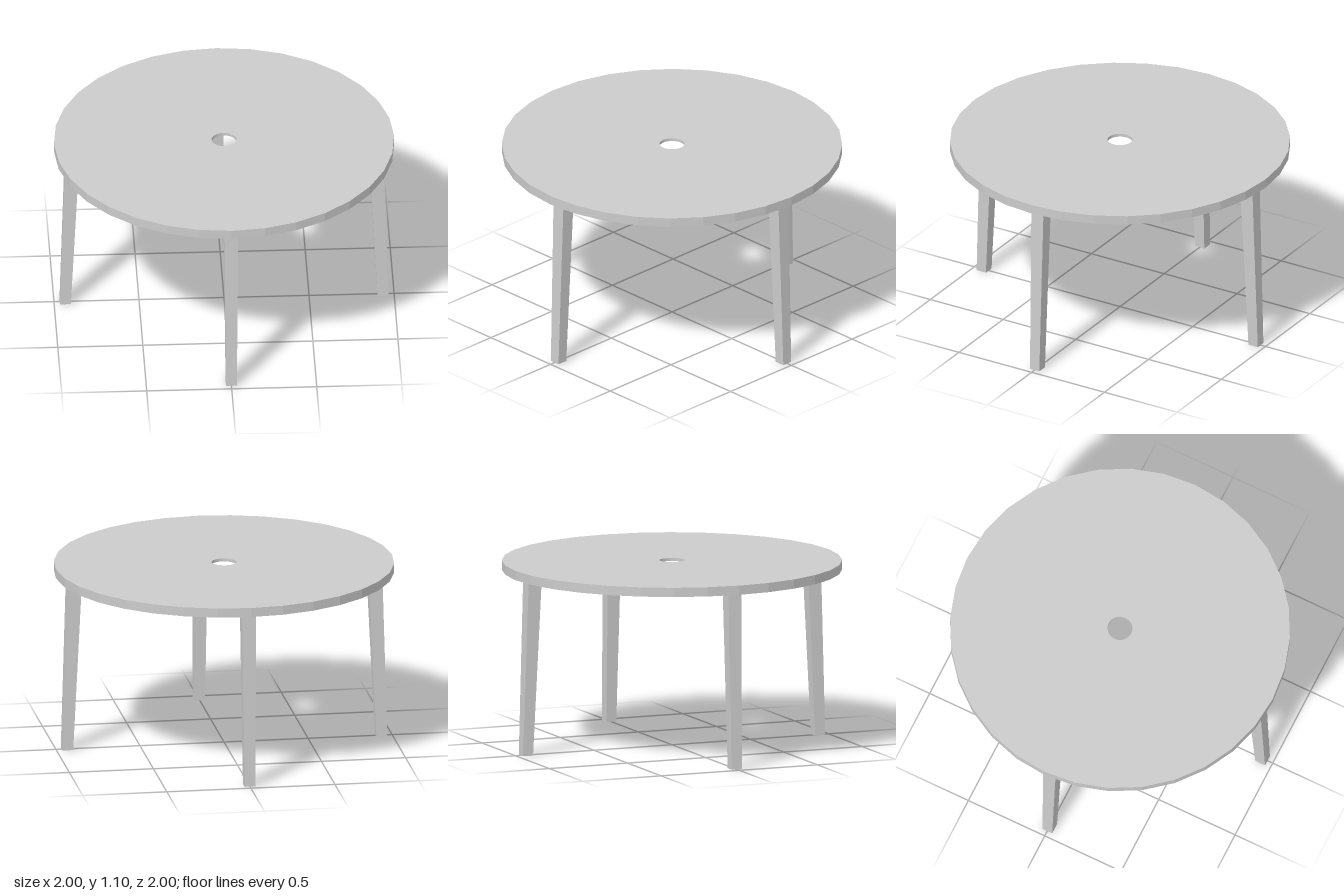
import * as THREE from 'three';

const material = new THREE.MeshStandardMaterial({ color: 0xcccccc, flatShading: true });

const TOP = 1.1, RIM_BOTTOM = 1.045, UNDERSIDE = 1.082;

// Faceted round top: thin slab with a centre hole and a downturned rim
function tableTop() {
  const profile = [
    [0.073, UNDERSIDE], [0.98, UNDERSIDE], [0.98, RIM_BOTTOM], [1, RIM_BOTTOM],
    [1, TOP], [0.073, TOP], [0.073, UNDERSIDE],
  ].map(([r, y]) => new THREE.Vector2(r, y));
  const geometry = new THREE.LatheGeometry(profile, 32).toNonIndexed();
  geometry.computeVertexNormals();
  const mesh = new THREE.Mesh(geometry, material);
  mesh.name = 'tableTop';
  return mesh;
}

// Square leg, narrower at the foot and splayed outward along +z
function legGeometry() {
  const geometry = new THREE.BoxGeometry(1, UNDERSIDE, 1);
  geometry.translate(0, UNDERSIDE / 2, 0);
  const p = geometry.attributes.position;
  for (let i = 0; i < p.count; i++) {
    const t = p.getY(i) / UNDERSIDE;
    const width = THREE.MathUtils.lerp(0.064, 0.084, t);
    const centre = THREE.MathUtils.lerp(0.934, 0.891, t);
    p.setX(i, p.getX(i) * width);
    p.setZ(i, p.getZ(i) * width + centre);
  }
  geometry.computeVertexNormals();
  return geometry;
}

export function createModel() {
  const table = new THREE.Group();
  table.name = 'roundTable';
  table.add(tableTop());

  // One leg on each side
  const geometry = legGeometry();
  ['frontLeg', 'leftLeg', 'backLeg', 'rightLeg'].forEach((name, i) => {
    const leg = new THREE.Mesh(geometry, material);
    leg.name = name;
    leg.rotation.y = i * Math.PI / 2;
    table.add(leg);
  });
  return table;
}
